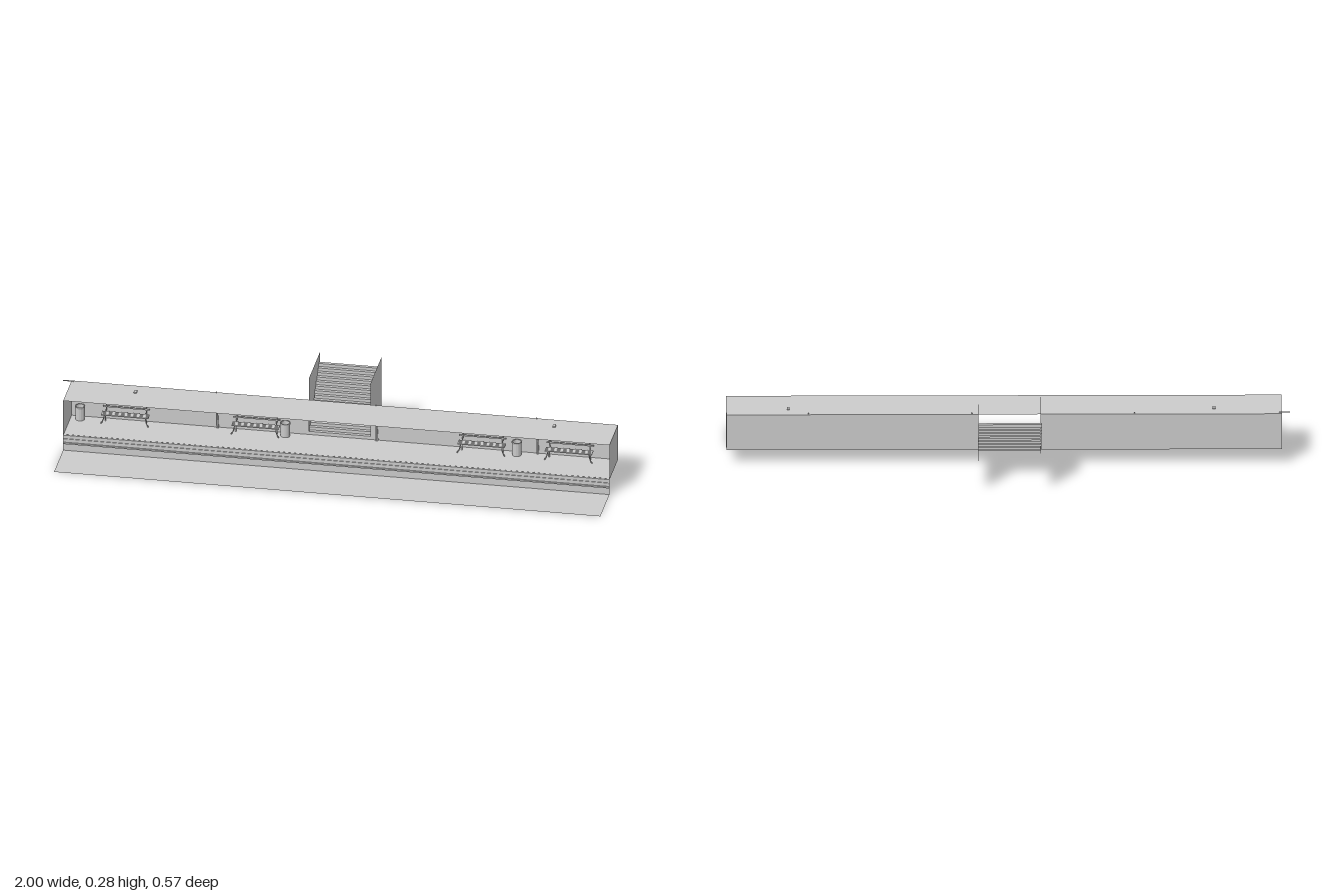
import * as THREE from 'three';

const grey = new THREE.MeshStandardMaterial({ color: 0xcccccc, side: THREE.DoubleSide, flatShading: true });
const smooth = new THREE.MeshStandardMaterial({ color: 0xcccccc, side: THREE.DoubleSide });

// Main levels and limits of the station
const X0 = -0.97, X1 = 1.0, FLOOR = 0.058, ROOF = 0.195;
const BACK = -0.061, EDGE = 0.105, TRACK = 0.283, END = -0.283;
const DOOR0 = -0.115, DOOR1 = 0.107;

function add(parent, name, geometry, x, y, z, material = grey) {
  const mesh = new THREE.Mesh(geometry, material);
  mesh.name = name;
  mesh.position.set(x, y, z);
  parent.add(mesh);
  return mesh;
}

// Box given by its limits on each axis
function block(parent, name, x0, x1, y0, y1, z0, z1) {
  return add(parent, name, new THREE.BoxGeometry(x1 - x0, y1 - y0, z1 - z0),
    (x0 + x1) / 2, (y0 + y1) / 2, (z0 + z1) / 2);
}

// Flat sheets: horizontal, facing front, facing sideways
function slab(parent, name, x0, x1, y, z0, z1) {
  add(parent, name, new THREE.PlaneGeometry(x1 - x0, z1 - z0).rotateX(-Math.PI / 2), (x0 + x1) / 2, y, (z0 + z1) / 2);
}
function wall(parent, name, x0, x1, y0, y1, z) {
  add(parent, name, new THREE.PlaneGeometry(x1 - x0, y1 - y0), (x0 + x1) / 2, (y0 + y1) / 2, z);
}
function sideWall(parent, name, x, y0, y1, z0, z1) {
  add(parent, name, new THREE.PlaneGeometry(z1 - z0, y1 - y0).rotateY(Math.PI / 2), x, (y0 + y1) / 2, (z0 + z1) / 2);
}

function makeBench(x) {
  const bench = new THREE.Group();
  bench.name = 'bench';
  for (let i = 0; i < 4; i++) {
    const z = -0.042 + i * 0.008;
    block(bench, 'seatSlat', -0.085, 0.085, 0.033, 0.037, z, z + 0.006);
  }
  for (const y of [0.05, 0.067]) block(bench, 'backSlat', -0.085, 0.085, y, y + 0.005, -0.05, -0.047);
  for (const s of [-1, 1]) {
    // Curved frame running from the backrest under the seat to the foot
    const path = new THREE.CatmullRomCurve3([
      [0.072, 0.072, -0.051], [0.072, 0.045, -0.047], [0.073, 0.031, -0.036],
      [0.075, 0.029, -0.015], [0.078, 0.015, -0.013], [0.086, 0.002, -0.01],
    ].map(([px, py, pz]) => new THREE.Vector3(s * px, py, pz)));
    add(bench, 'frame', new THREE.TubeGeometry(path, 16, 0.002, 6), 0, 0, 0, smooth);
    block(bench, 'rearLeg', s * 0.074 - 0.002, s * 0.074 + 0.002, 0, 0.031, -0.042, -0.038);
  }
  bench.position.set(x, FLOOR, 0);
  return bench;
}

function makeBin(x) {
  const profile = [[0, 0], [0.0165, 0], [0.0175, 0.046], [0.0185, 0.048], [0.0185, 0.052], [0.015, 0.052], [0.014, 0.006], [0, 0.006]];
  const bin = new THREE.Mesh(
    new THREE.LatheGeometry(profile.map(p => new THREE.Vector2(...p)), 16), grey);
  bin.name = 'litterBin';
  bin.position.set(x, FLOOR, -0.036);
  return bin;
}

export function createModel() {
  const station = new THREE.Group();
  station.name = 'station';

  // Hall shell, open towards the track
  const hall = new THREE.Group();
  hall.name = 'hall';
  slab(hall, 'platformFloor', X0, X1, FLOOR, BACK, EDGE);
  slab(hall, 'roof', X0, X1, ROOF, BACK, EDGE);
  wall(hall, 'backWall', X0, DOOR0, FLOOR, ROOF, BACK);
  wall(hall, 'backWall', DOOR1, X1, FLOOR, ROOF, BACK);
  sideWall(hall, 'endWall', X0, FLOOR, ROOF, BACK, EDGE);
  sideWall(hall, 'endWall', X1, FLOOR, ROOF, BACK, EDGE);
  station.add(hall);

  // Track bed and platform face with its pipes
  slab(station, 'trackBed', X0, X1, 0, EDGE, TRACK);
  wall(station, 'platformFace', X0, X1, 0, FLOOR, EDGE);
  block(station, 'lowerRail', X0, X1, 0.028, 0.033, 0.107, 0.113);
  block(station, 'upperCable', X0, X1, 0.041, 0.047, 0.1065, 0.109);

  // Raised warning strip with studs along the platform edge
  block(station, 'warningStrip', X0, X1, FLOOR, FLOOR + 0.001, 0.096, 0.105);
  const stud = new THREE.CylinderGeometry(0.003, 0.004, 0.002, 6);
  for (let i = 0; i < 98; i++) add(station, 'stud', stud, X0 + 0.015 + i * 0.02, FLOOR + 0.002, 0.1);

  // Stairway: steps slightly staggered between two side walls
  const stairs = new THREE.Group();
  stairs.name = 'stairs';
  for (let i = 0; i < 16; i++) {
    const z = BACK - i * 0.0128, y = FLOOR + i * 0.0117, dx = i % 2 ? 0.003 : -0.001;
    block(stairs, 'step', DOOR0 - dx, DOOR1, y, y + 0.0125, z - 0.0132, z);
  }
  for (const x of [DOOR0, DOOR1]) sideWall(stairs, 'stairWall', x, FLOOR, 0.278, END, BACK);
  station.add(stairs);

  // Slim, tapered wall posts
  for (const x of [-0.445, 0.13, 0.71]) {
    const post = add(station, 'wallPost', new THREE.CylinderGeometry(0.002, 0.005, 0.142, 6), x, FLOOR + 0.071, -0.056);
    post.rotation.z = 0.03;
  }

  // Small ceiling fittings and hanging rods
  for (const x of [-0.73, 0.78]) {
    block(station, 'hangingRod', x - 0.002, x + 0.002, 0.165, 0.186, -0.058, -0.054);
    block(station, 'ceilingFitting', x - 0.005, x + 0.005, 0.191, 0.199, -0.02, 0);
  }
  block(station, 'endBracket', -1.0, -0.96, 0.196, 0.199, -0.053, -0.05);

  for (const x of [-0.77, -0.3, 0.515, 0.83]) station.add(makeBench(x));
  for (const x of [-0.935, -0.195, 0.64]) station.add(makeBin(x));
  return station;
}
